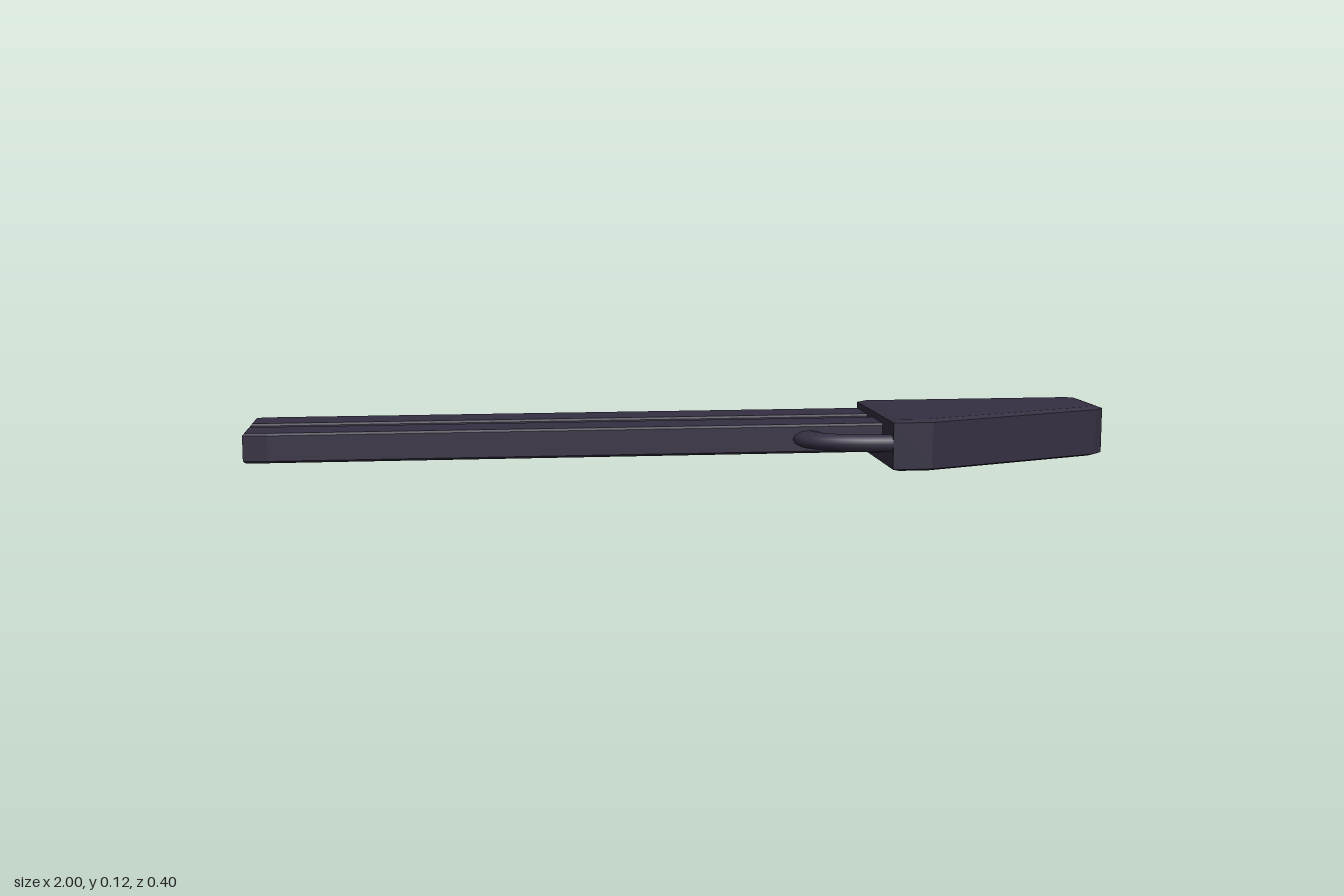
import * as THREE from 'three';

const dark = new THREE.MeshStandardMaterial({ color: 0x353042 });
const grey = new THREE.MeshStandardMaterial({ color: 0xcccccc });

// Flat plate: an outline of [x, z] points between two heights, with chamfered rims
function plate(name, points, bottom, top, bevelSize, bevelThickness, material = dark) {
  const shape = new THREE.Shape(points.map(([x, z]) => new THREE.Vector2(x, z)));
  const geometry = new THREE.ExtrudeGeometry(shape, {
    depth: top - bottom - 2 * bevelThickness,
    bevelEnabled: bevelSize > 0,
    bevelSize, bevelThickness, bevelOffset: -bevelSize, bevelSegments: 1,
  });
  geometry.rotateX(Math.PI / 2);
  geometry.translate(0, top - bevelThickness, 0);
  const mesh = new THREE.Mesh(geometry, material);
  mesh.name = name;
  return mesh;
}

export function createModel() {
  const model = new THREE.Group();
  model.name = 'railTool';

  // Wedge-shaped handle
  model.add(plate('handle', [
    [0.445, -0.182], [0.97, -0.182], [1, -0.163], [1, 0.005],
    [0.975, 0.032], [0.535, 0.2], [0.445, 0.2],
  ], 0, 0.118, 0.018, 0.006));

  // Two parallel rails, outer corners trimmed at the free end
  model.add(plate('backRail', [
    [-1, -0.18], [-0.945, -0.187], [0.5, -0.187], [0.5, -0.07], [-1, -0.07],
  ], 0.03, 0.097, 0.005, 0.005));
  model.add(plate('frontRail', [
    [-1, -0.02], [0.5, -0.02], [0.5, 0.092], [-0.945, 0.092], [-1, 0.085],
  ], 0.03, 0.097, 0.005, 0.005));

  // Row of triangular teeth on the inner face of the front rail
  const teeth = new THREE.Group();
  teeth.name = 'teeth';
  for (let i = 0; i < 14; i++) {
    const x = -0.91 + i * 0.1;
    teeth.add(plate('tooth', [[x - 0.028, -0.017], [x, -0.04], [x + 0.028, -0.017]], 0.045, 0.082, 0, 0, grey));
  }
  model.add(teeth);

  // Curved guard joining the front rail to the handle
  const guardGeometry = new THREE.TorusGeometry(0.09, 0.02, 12, 24, Math.PI / 2 + 0.2);
  guardGeometry.rotateZ(Math.PI / 2 - 0.1);
  guardGeometry.rotateX(Math.PI / 2);
  guardGeometry.scale(1.95, 1, 1);
  const guard = new THREE.Mesh(guardGeometry, dark);
  guard.name = 'guard';
  guard.position.set(0.45, 0.063, 0.09);
  model.add(guard);

  // Small contact pins on the back: a pair by the handle, one near the tip
  for (const [x, y, end] of [[0.437, 0.072, -0.202], [0.437, 0.048, -0.202], [-0.885, 0.06, -0.197]]) {
    const pin = new THREE.Mesh(new THREE.BoxGeometry(0.028, 0.007, 0.04), grey);
    pin.name = 'pin';
    pin.position.set(x, y, end + 0.02);
    model.add(pin);
  }
  return model;
}
